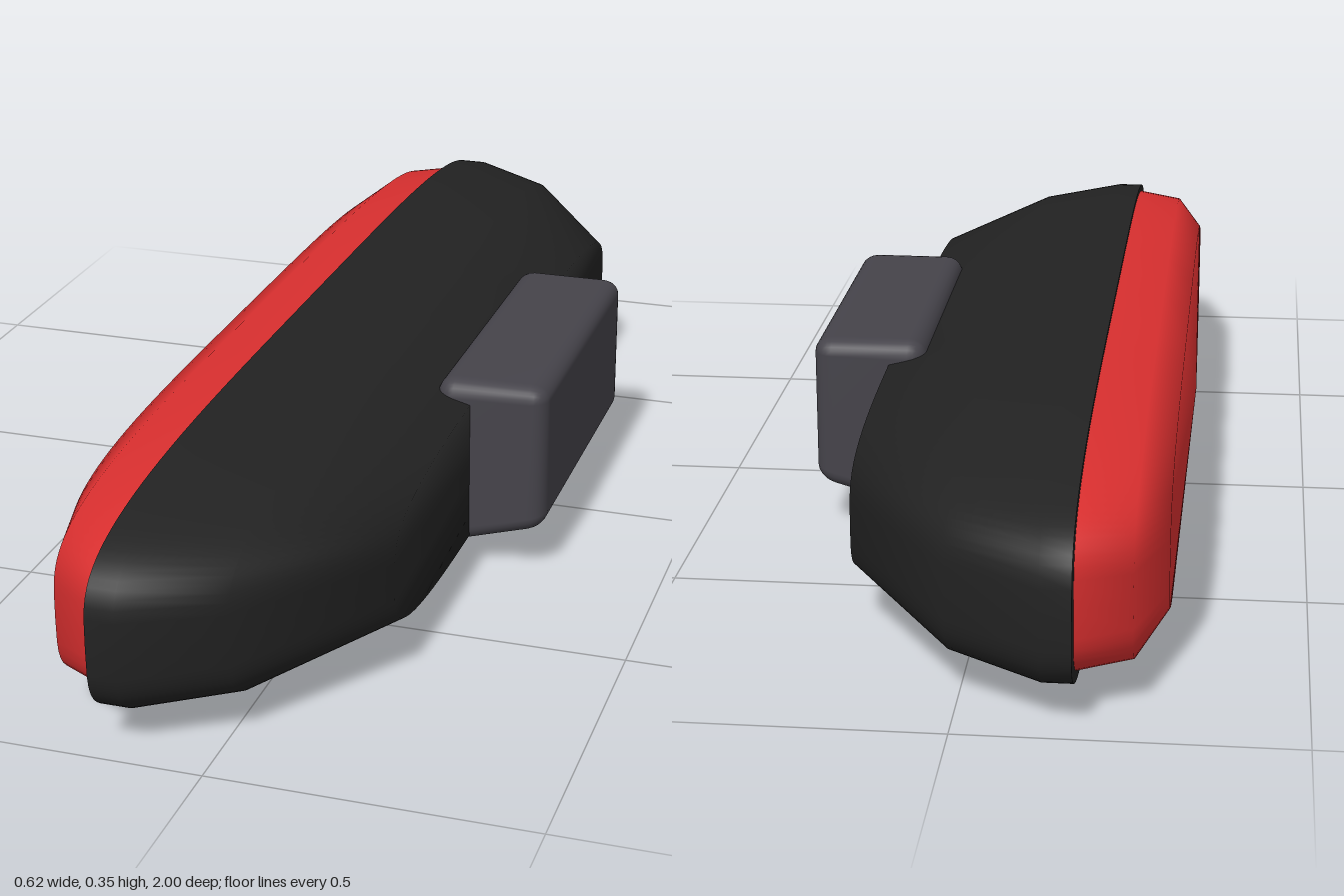
import * as THREE from 'three';
import { mergeVertices } from 'three/addons/utils/BufferGeometryUtils.js';
import { RoundedBoxGeometry } from 'three/addons/geometries/RoundedBoxGeometry.js';

const MID_Y = 0.179;
const SIDES = 96;

// Skin squarish oval rings [x, half length in z, half height], listed with x rising.
function loft(rings) {
  const positions = [], index = [];
  const squarish = (v) => Math.sign(v) * Math.sqrt(Math.abs(v));
  for (const [x, halfZ, halfY] of rings) {
    for (let j = 0; j < SIDES; j++) {
      const a = (j / SIDES) * Math.PI * 2;
      positions.push(x, MID_Y + halfY * squarish(Math.sin(a)), halfZ * squarish(Math.cos(a)));
    }
  }
  for (let i = 0; i < rings.length - 1; i++) {
    for (let j = 0; j < SIDES; j++) {
      const k = (j + 1) % SIDES;
      const a = i * SIDES + j, b = i * SIDES + k;
      index.push(a, a + SIDES, b, b, a + SIDES, b + SIDES);
    }
  }
  const geometry = new THREE.BufferGeometry();
  geometry.setAttribute('position', new THREE.Float32BufferAttribute(positions, 3));
  geometry.setIndex(index);
  const merged = mergeVertices(geometry, 1e-5);
  merged.computeVertexNormals();
  return merged;
}

// Rounded block whose underside rises toward +x.
function mountGeometry() {
  const width = 0.185, height = 0.3;
  const box = new RoundedBoxGeometry(width, height, 0.55, 3, 0.03);
  box.deleteAttribute('normal');
  box.deleteAttribute('uv');
  const geometry = mergeVertices(box, 1e-5);
  const p = geometry.attributes.position;
  for (let i = 0; i < p.count; i++) {
    const along = p.getX(i) / width + 0.5;
    const down = 0.5 - p.getY(i) / height;
    p.setY(i, p.getY(i) + down * along * 0.055);
  }
  geometry.computeVertexNormals();
  return geometry;
}

export function createModel() {
  const black = new THREE.MeshStandardMaterial({ name: 'black housing', color: 0x222222 });
  const red = new THREE.MeshStandardMaterial({ name: 'red lens', color: 0xd92f2f });
  const grey = new THREE.MeshStandardMaterial({ name: 'grey mount', color: 0x45434a });

  const group = new THREE.Group();
  group.name = 'lamp';
  const add = (name, geometry, material) => {
    const mesh = new THREE.Mesh(geometry, material);
    mesh.name = name;
    group.add(mesh);
    return mesh;
  };

  // Tapered housing, closed on the mount side
  add('housing', loft([
    [-0.17, 1, 0.176], [-0.125, 1, 0.176], [0.015, 0.92, 0.161],
    [0.185, 0.68, 0.118], [0.185, 0, 0],
  ]), black);

  // Flat rim between housing and lens
  add('housingRim', loft([[-0.17, 0.94, 0.165], [-0.17, 1, 0.176]]), black);

  // Domed lens
  add('lens', loft([
    [-0.31, 0, 0], [-0.295, 0.775, 0.136], [-0.25, 0.925, 0.163], [-0.168, 0.965, 0.17],
  ]), red);

  // Mounting block
  add('mount', mountGeometry(), grey).position.set(0.2175, 0.183, 0);

  return group;
}
